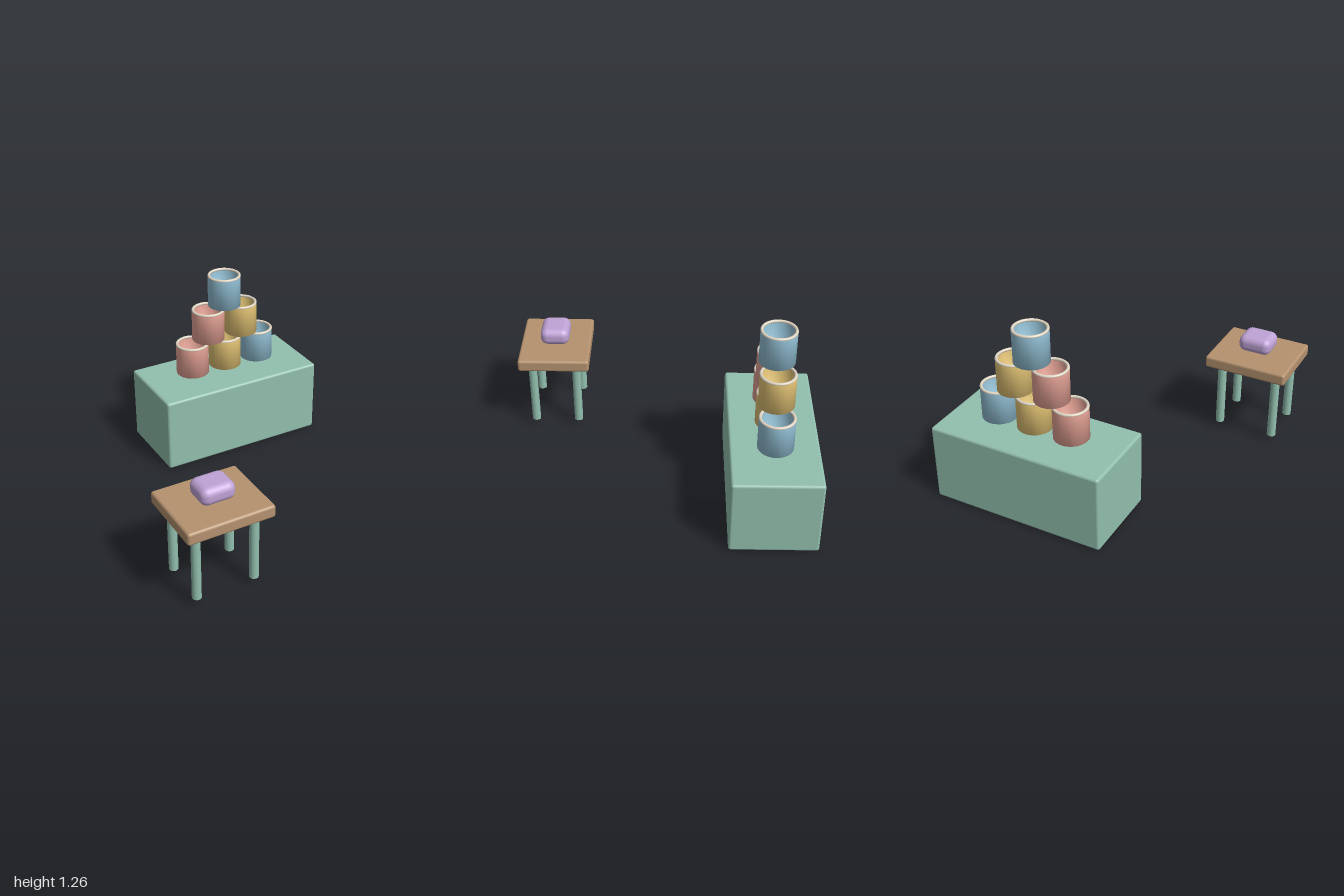
import * as THREE from 'three';
import { RoundedBoxGeometry } from 'three/addons/geometries/RoundedBoxGeometry.js';

const mat = (color) => new THREE.MeshStandardMaterial({ color });
const green = mat(0x92bfae), wood = mat(0xb5926f), lilac = mat(0xbfa3d6), cream = mat(0xe0d6c4);
const pink = mat(0xe8a598), yellow = mat(0xe8c878), blue = mat(0x95c3d8);

function add(parent, name, geometry, material, x = 0, y = 0, z = 0) {
  const mesh = new THREE.Mesh(geometry, material);
  mesh.name = name;
  mesh.position.set(x, y, z);
  parent.add(mesh);
  return mesh;
}

// Rounded block given by its extents
function block(parent, name, [x0, x1], [y0, y1], [z0, z1], radius, material) {
  const geometry = new RoundedBoxGeometry(x1 - x0, y1 - y0, z1 - z0, 4, radius);
  return add(parent, name, geometry, material, (x0 + x1) / 2, (y0 + y1) / 2, (z0 + z1) / 2);
}

// Hollow tin with a floor, softly shaded, and a pale rolled rim
const TIN_H = 0.225, TIN_R = 0.115;
const tinWall = new THREE.LatheGeometry([
  [0, 0], [TIN_R, 0], [TIN_R, TIN_H - 0.006],
  [TIN_R - 0.014, TIN_H - 0.006], [TIN_R - 0.014, 0.014], [0, 0.014],
].map(([r, y]) => new THREE.Vector2(r, y)), 28);
const tinRim = new THREE.TorusGeometry(TIN_R - 0.009, 0.01, 10, 36).rotateX(Math.PI / 2);

function makeTin(material) {
  const tin = new THREE.Group();
  tin.name = 'tin';
  add(tin, 'tinWall', tinWall, material);
  add(tin, 'tinRim', tinRim, cream, 0, TIN_H - 0.005, 0);
  return tin;
}

export function createModel() {
  const model = new THREE.Group();
  model.name = 'tinTossGame';

  // Long counter at the back
  block(model, 'counter', [-0.315, 0.885], [0, 0.53], [-1, -0.43], 0.018, green);

  // Pyramid of tins: three, two, one
  const pyramid = new THREE.Group();
  pyramid.name = 'tinPyramid';
  pyramid.position.set(0.287, 0.567, -0.715);
  [[pink, yellow, blue], [pink, yellow], [blue]].forEach((row, level) => {
    row.forEach((material, i) => {
      const tin = makeTin(material);
      tin.position.set((i - (row.length - 1) / 2) * 0.26, level * 0.232, 0);
      pyramid.add(tin);
    });
  });
  model.add(pyramid);

  // Small table at the front
  const table = new THREE.Group();
  table.name = 'table';
  block(table, 'tableTop', [-0.89, -0.315], [0.51, 0.595], [0.51, 1], 0.018, wood);
  const leg = new THREE.CylinderGeometry(0.03, 0.03, 0.47, 20);
  for (const x of [-0.8, -0.41])
    for (const z of [0.605, 0.91]) add(table, 'tableLeg', leg, green, x, 0.28, z);
  model.add(table);

  // Beanbag for throwing
  block(model, 'beanbag', [-0.717, -0.488], [0.608, 0.728], [0.655, 0.855], 0.05, lilac);

  return model;
}
